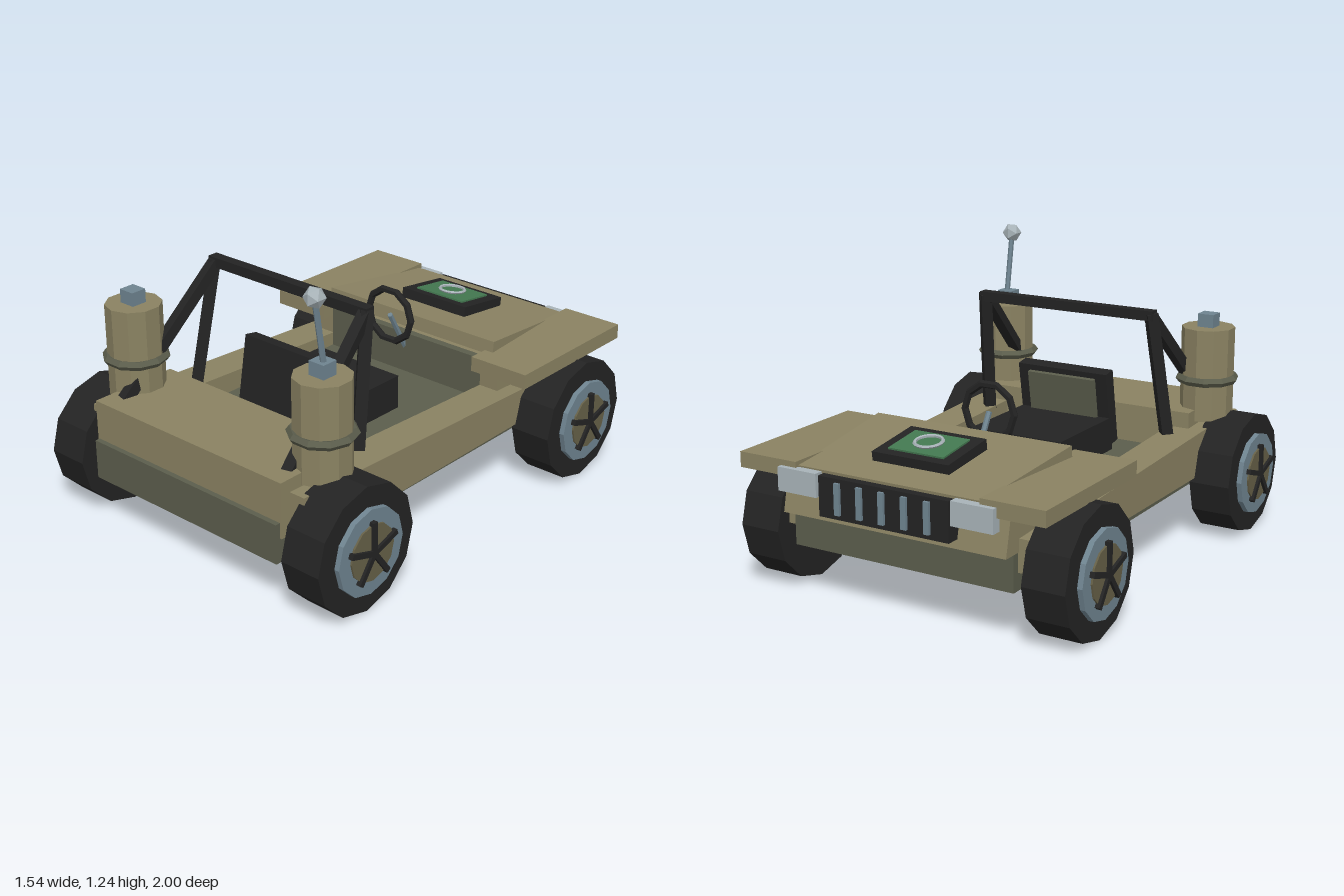
import * as THREE from 'three';

const mat = (name, color) => {
  const m = new THREE.MeshStandardMaterial({ color });
  m.name = name;
  return m;
};

export function createModel() {
  const olive = mat('olive paint', 0x8a8262);
  const drab = mat('dark drab', 0x5b5d4c);
  const black = mat('black rubber', 0x232323);
  const steel = mat('blue steel', 0x6f8490);
  const pale = mat('pale metal', 0xa8b3b8);
  const green = mat('green screen', 0x437850);
  const hubBrown = mat('hub olive', 0x666047);

  const car = new THREE.Group();
  car.name = 'buggy';

  // Faceted mesh: every face keeps its own normal
  const add = (name, geo, material, parent = car) => {
    const g = geo.index ? geo.toNonIndexed() : geo;
    g.computeVertexNormals();
    const mesh = new THREE.Mesh(g, material);
    mesh.name = name;
    parent.add(mesh);
    return mesh;
  };
  // Box given by its [min, max] on each axis
  const box = (name, x, y, z, material, parent) => {
    const m = add(name, new THREE.BoxGeometry(x[1] - x[0], y[1] - y[0], z[1] - z[0]), material, parent);
    m.position.set((x[0] + x[1]) / 2, (y[0] + y[1]) / 2, (z[0] + z[1]) / 2);
    return m;
  };
  // Straight bar between two points, square or round
  const bar = (name, a, b, size, material, sides = 0) => {
    const p = new THREE.Vector3(...a), q = new THREE.Vector3(...b);
    const len = p.distanceTo(q);
    const geo = sides ? new THREE.CylinderGeometry(size / 2, size / 2, len, sides)
      : new THREE.BoxGeometry(size, len, size);
    const m = add(name, geo, material);
    m.position.copy(p).lerp(q, 0.5);
    m.quaternion.setFromUnitVectors(new THREE.Vector3(0, 1, 0), q.sub(p).normalize());
    return m;
  };

  // Tub and rear deck
  box('tub', [-0.495, 0.495], [0.21, 0.375], [-0.88, 0.967], drab);
  box('rearDeck', [-0.503, 0.503], [0.31, 0.54], [0.55, 0.945], olive);

  // Side sills: top falls toward the nose, outer face tapers slightly
  for (const s of [-1, 1]) {
    const g = new THREE.BoxGeometry(0.155, 0.2, 1.75);
    const p = g.attributes.position;
    for (let i = 0; i < p.count; i++) {
      const z = p.getZ(i) + 0.025;
      if (p.getY(i) > 0) p.setY(i, 0.448 + 0.043 * z);
      else p.setY(i, 0.28);
      p.setX(i, p.getX(i) * s > 0 ? s * (0.567 + 0.008 * z) : s * 0.41);
      p.setZ(i, z);
    }
    add(s > 0 ? 'leftSill' : 'rightSill', g, olive);
  }

  // Nose block with a front that leans out at the bottom
  const nose = new THREE.BoxGeometry(1, 0.19, 0.55);
  const np = nose.attributes.position;
  for (let i = 0; i < np.count; i++) {
    const top = np.getY(i) > 0;
    if (np.getZ(i) < 0) np.setZ(i, top ? -0.9 : -0.94);
    else np.setZ(i, -0.35);
    np.setY(i, top ? 0.54 : 0.36);
  }
  add('noseBlock', nose, olive);
  box('dashboard', [-0.41, 0.41], [0.37, 0.555], [-0.38, -0.345], drab);

  // Tapered, tilted hood
  const hoodGeo = new THREE.BoxGeometry(0.86, 0.06, 0.575);
  const hp = hoodGeo.attributes.position;
  for (let i = 0; i < hp.count; i++) hp.setX(i, hp.getX(i) * (1 + 0.17 * hp.getZ(i)));
  const hood = add('hood', hoodGeo, olive);
  hood.position.set(0, 0.568, -0.665);
  hood.rotation.x = -0.11;

  // Front fenders and headlights
  for (const s of [-1, 1]) {
    const side = (a, b) => (s > 0 ? [a, b] : [-b, -a]);
    box('frontFender', side(0.41, 0.68), [0.52, 0.583], [-0.97, -0.287], olive);
    box('headlight', side(0.3, 0.48), [0.465, 0.56], [-0.992, -0.95], pale);
  }

  // Grille with vertical slats
  box('grille', [-0.29, 0.29], [0.395, 0.555], [-0.988, -0.92], black);
  for (let i = -2; i <= 2; i++) {
    box('grilleSlat', [i * 0.1 - 0.012, i * 0.1 + 0.012], [0.415, 0.54], [-1, -0.98], steel);
  }

  // Hood display with green screen and ring
  const display = new THREE.Group();
  display.name = 'hoodDisplay';
  display.position.set(0, 0.613, -0.675);
  display.rotation.x = -0.13;
  car.add(display);
  box('displayFrame', [-0.173, 0.173], [-0.025, 0.025], [-0.132, 0.132], black, display);
  box('displayScreen', [-0.125, 0.125], [0.025, 0.032], [-0.092, 0.092], green, display);
  const ring = add('displayRing', new THREE.TorusGeometry(0.055, 0.007, 5, 18), pale, display);
  ring.rotation.x = Math.PI / 2;
  ring.position.y = 0.04;

  // Steering wheel and column
  const steering = add('steeringWheel', new THREE.TorusGeometry(0.116, 0.016, 6, 10), black);
  steering.position.set(0, 0.667, -0.25);
  bar('steeringColumn', [0, 0.667, -0.252], [0, 0.47, -0.365], 0.024, steel, 6);

  // Seat
  box('seatCushion', [-0.215, 0.215], [0.37, 0.52], [-0.052, 0.4], black);
  const seat = new THREE.Group();
  seat.name = 'seatBack';
  seat.position.set(0, 0.57, 0.39);
  seat.rotation.x = -0.17;
  car.add(seat);
  box('seatBackFrame', [-0.215, 0.215], [-0.17, 0.155], [-0.03, 0.03], black, seat);
  box('seatBackPad', [-0.16, 0.16], [-0.06, 0.13], [-0.05, -0.03], drab, seat);

  // Roll bar with splayed posts and rear braces
  box('rollBarTop', [-0.42, 0.42], [0.97, 1.012], [0.343, 0.388], black);
  for (const s of [-1, 1]) {
    bar('rollBarPost', [s * 0.405, 1.0, 0.366], [s * 0.445, 0.44, 0.462], 0.048, black);
    bar('rollBarBrace', [s * 0.4, 0.985, 0.37], [s * 0.447, 0.52, 0.85], 0.045, black);
  }

  // Rear canisters with band and cap
  for (const s of [-1, 1]) {
    const can = new THREE.Group();
    can.name = s > 0 ? 'leftCanister' : 'rightCanister';
    can.position.set(s * 0.505, 0, 0.722);
    car.add(can);
    add('canisterBody', new THREE.CylinderGeometry(0.115, 0.115, 0.4, 10), olive, can).position.y = 0.69;
    const band = add('canisterBand', new THREE.TorusGeometry(0.118, 0.02, 5, 10), drab, can);
    band.rotation.x = Math.PI / 2;
    band.position.y = 0.665;
    box('canisterCap', [-0.036, 0.036], [0.88, 0.947], [-0.034, 0.034], steel, can);
  }

  // Antenna on the left canister
  bar('antennaRod', [0.514, 0.94, 0.727], [0.514, 1.2, 0.77], 0.024, steel, 6);
  add('antennaTip', new THREE.IcosahedronGeometry(0.043, 0), pale).position.set(0.514, 1.205, 0.77);

  // Wheels: tyre, rim, hub and five spokes
  const disc = (name, r, from, to, n, material, parent) => {
    const g = new THREE.CylinderGeometry(r, r, to - from, n).rotateZ(Math.PI / 2);
    add(name, g, material, parent).position.x = (from + to) / 2;
  };
  for (const z of [0.737, -0.66]) {
    for (const s of [-1, 1]) {
      const wheel = new THREE.Group();
      wheel.name = (z > 0 ? 'rear' : 'front') + (s > 0 ? 'Left' : 'Right') + 'Wheel';
      wheel.position.set(0, 0.262, z);
      wheel.rotation.y = s > 0 ? 0 : Math.PI;
      car.add(wheel);
      disc('tyre', 0.262, 0.55, 0.73, 12, black, wheel);
      disc('rim', 0.177, 0.7, 0.752, 12, steel, wheel);
      disc('hubDisc', 0.117, 0.74, 0.76, 12, hubBrown, wheel);
      for (let i = 0; i < 5; i++) {
        const g = new THREE.BoxGeometry(0.024, 0.13, 0.022).translate(0.76, 0.065, 0);
        add('spoke', g.rotateX((i * Math.PI * 2) / 5), black, wheel);
      }
    }
  }
  return car;
}
